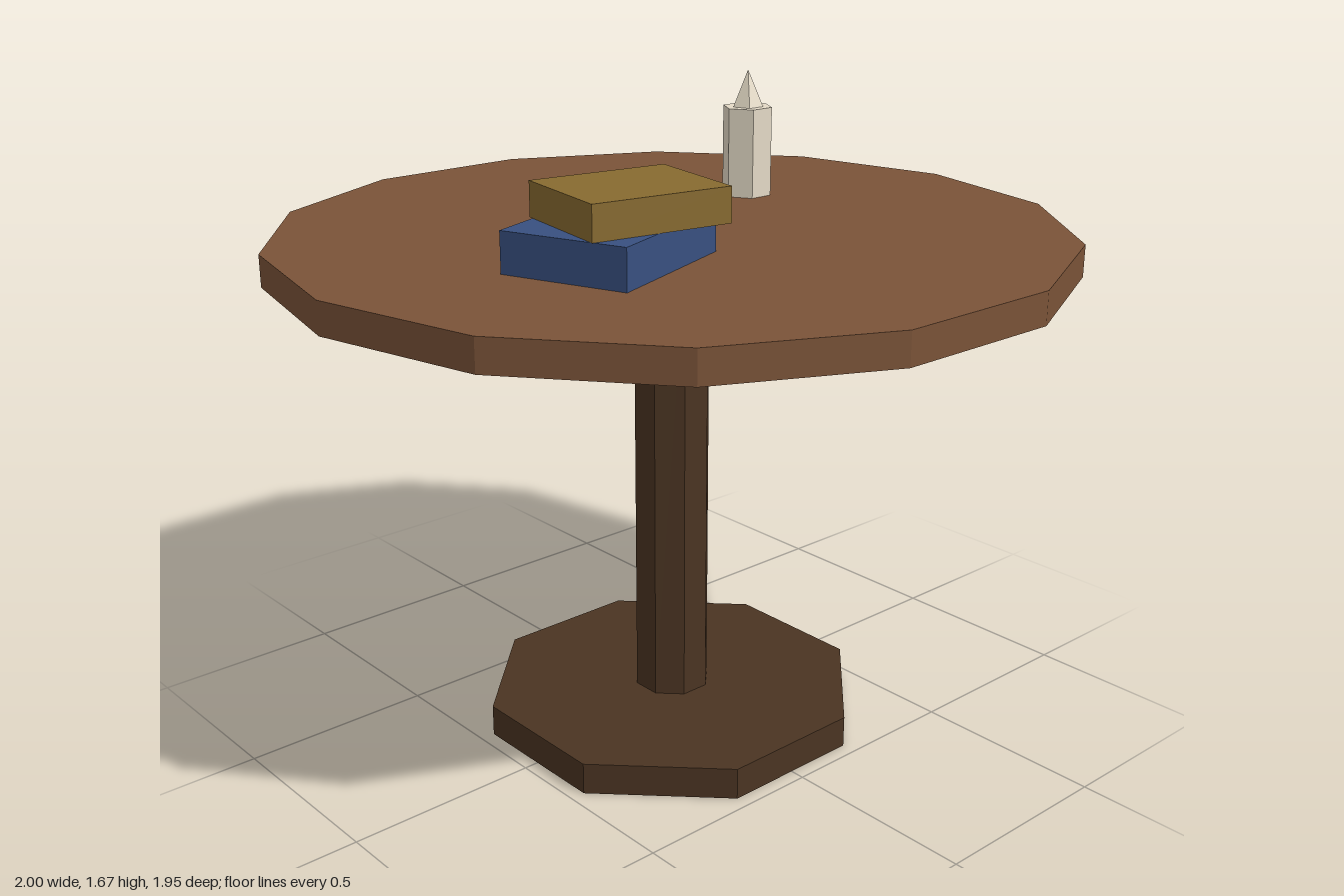
import * as THREE from 'three';

export function createModel() {
  const model = new THREE.Group();
  model.name = 'pedestalTable';

  const material = (name, color) => {
    const m = new THREE.MeshStandardMaterial({ color, flatShading: true });
    m.name = name;
    return m;
  };
  const wood = material('warm wood', 0x7a5338);
  const darkWood = material('dark wood', 0x4a3422);
  const blue = material('blue cover', 0x385080);
  const ochre = material('ochre cover', 0x876a30);
  const wax = material('cream wax', 0xe4dac6);

  const add = (name, geometry, mat, x, y, z, turn = 0) => {
    const mesh = new THREE.Mesh(geometry, mat);
    mesh.name = name;
    mesh.position.set(x, y, z);
    mesh.rotation.y = turn;
    model.add(mesh);
  };
  // Upright prism standing between two heights
  const prism = (name, mat, radius, sides, y0, y1, x, z, turn, topRadius = radius) =>
    add(name, new THREE.CylinderGeometry(topRadius, radius, y1 - y0, sides), mat, x, (y0 + y1) / 2, z, turn);

  // Table: octagonal foot and post, fourteen-sided top
  prism('foot', darkWood, 0.5, 8, 0, 0.083, 0, 0, Math.PI / 8);
  prism('post', darkWood, 0.1, 8, 0.083, 1.255, 0, 0, Math.PI / 8);
  prism('tableTop', wood, 1, 14, 1.255, 1.335, 0, 0, Math.PI / 2);

  // Two stacked books
  add('lowerBook', new THREE.BoxGeometry(0.415, 0.1, 0.325), blue, -0.333, 1.385, 0.167, 0.35);
  add('upperBook', new THREE.BoxGeometry(0.358, 0.085, 0.293), ochre, -0.303, 1.4775, 0.2, -0.17);

  // Candle with a pointed tip
  prism('candle', wax, 0.067, 6, 1.335, 1.57, 0.415, -0.168, Math.PI / 2);
  add('candleTip', new THREE.ConeGeometry(0.042, 0.096, 5), wax, 0.415, 1.618, -0.168, Math.PI);

  return model;
}
